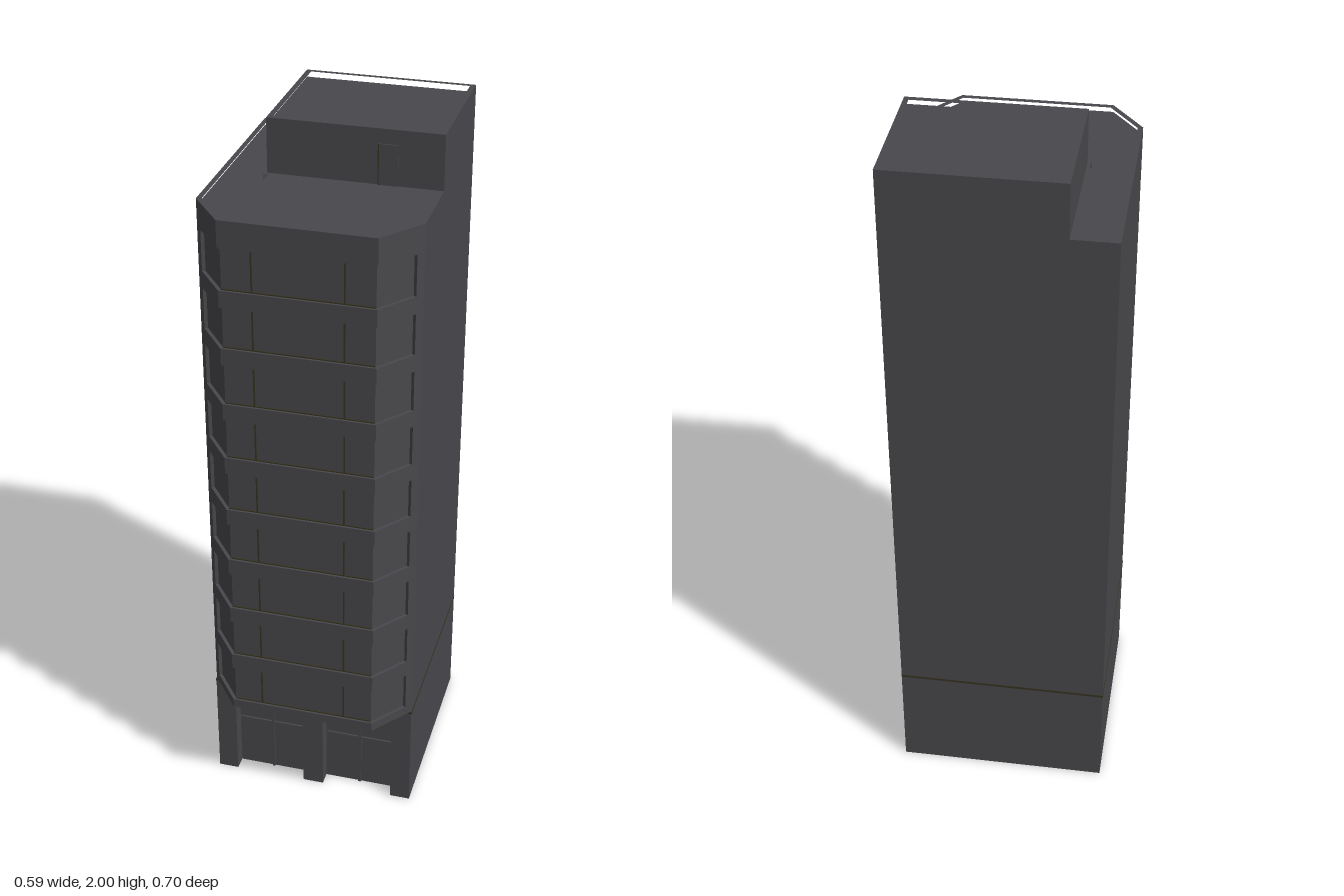
import * as THREE from 'three';

export function createModel() {
  const model = new THREE.Group();
  const mat = (name, color, side = THREE.FrontSide) => {
    const m = new THREE.MeshStandardMaterial({ color, side });
    m.name = name;
    return m;
  };
  const wall = mat('wall grey', 0x48474b);
  const trim = mat('dark olive trim', 0x35321f);

  const add = (name, geo, material = wall, parent = model) => {
    const mesh = new THREE.Mesh(geo, material);
    mesh.name = name;
    parent.add(mesh);
    return mesh;
  };
  // Box given by its minimum and maximum corners
  const box = (name, x0, x1, y0, y1, z0, z1, material, parent) =>
    add(name, new THREE.BoxGeometry(x1 - x0, y1 - y0, z1 - z0)
      .translate((x0 + x1) / 2, (y0 + y1) / 2, (z0 + z1) / 2), material, parent);
  // Vertical prism over a plan of [x, z] points, with an optional hole
  const plan = (pts) => pts.map(([x, z]) => new THREE.Vector2(x, -z));
  const prism = (name, pts, y0, y1, hole, material, parent) => {
    const shape = new THREE.Shape(plan(pts));
    if (hole) shape.holes.push(new THREE.Path(plan(hole)));
    const geo = new THREE.ExtrudeGeometry(shape, { depth: y1 - y0, bevelEnabled: false });
    return add(name, geo.rotateX(-Math.PI / 2).translate(0, y0, 0), material, parent);
  };
  const mirrored = (half) => [...half, ...half.map(([x, z]) => [-x, z]).reverse()];

  const W = 0.295, BACK = -0.35, FRONT = 0.35, BASE_FRONT = 0.24;
  const BASE_TOP = 0.33, ROOF = 1.85, TOP = 2.0, RIM = 0.02;

  // Ground floor: thin walls open underneath, with a recessed shop front
  const base = new THREE.Group();
  base.name = 'groundFloor';
  model.add(base);
  const T = 0.004, GLASS = 0.2;
  box('backWall', -W, W, 0, BASE_TOP, BACK, BACK + T, wall, base);
  for (const s of [-1, 1]) {
    const a = s * W, b = s * (W - T), c = s * 0.237;
    box('sideWall', Math.min(a, b), Math.max(a, b), 0, BASE_TOP, BACK, BASE_FRONT, wall, base);
    box('cornerPillar', Math.min(a, c), Math.max(a, c), 0, BASE_TOP, GLASS, BASE_FRONT, wall, base);
  }
  box('centrePillar', -0.03, 0.03, 0, 0.28, GLASS, BASE_FRONT, wall, base);
  box('lintel', -0.237, 0.237, 0.28, BASE_TOP, GLASS, BASE_FRONT, wall, base);
  box('shopFront', -0.237, 0.237, 0, 0.28, GLASS - T, GLASS, wall, base);
  for (const s of [-1, 1]) {
    const x = s * 0.134;
    box('shopMullion', x - 0.004, x + 0.004, 0, 0.28, GLASS - 0.008, GLASS + 0.005, wall, base);
    box('shopTransom', x - 0.1, x + 0.1, 0.165, 0.173, GLASS - 0.008, GLASS + 0.005, wall, base);
  }
  // Dark line between ground floor and tower
  prism('baseTrim', mirrored([[W + 0.001, BACK - 0.001], [W + 0.001, BASE_FRONT + 0.001]]),
    0.323, 0.33, mirrored([[W - T, BACK + T], [W - T, BASE_FRONT - T]]), trim);

  // Tower: full-width slabs alternating with recessed window storeys
  const outline = mirrored([[W, BACK], [W, 0.235], [0.205, FRONT]]);
  const recessed = mirrored([[W, BACK], [W, 0.235], [0.28, 0.254], [0.272, 0.249], [0.2, 0.341]]);
  const tower = new THREE.Group();
  tower.name = 'tower';
  model.add(tower);
  let y = BASE_TOP;
  for (let i = 0; i < 9; i++) {
    const y0 = 0.357 + i * 0.1628, y1 = y0 + 0.115;
    prism('floorBand', outline, y, y0, null, wall, tower);
    prism('windowStorey', recessed, y0, y1, null, wall, tower);
    for (const x of [-0.12, 0.12])
      box('windowMullion', x - 0.002, x + 0.002, y0, y1, 0.339, 0.344, trim, tower);
    for (const [a, b] of [[y0, y0 + 0.003], [y1 - 0.003, y1]])
      box('windowTrim', -0.2, 0.2, a, b, 0.339, 0.344, trim, tower);
    y = y1;
  }
  prism('topBand', outline, y, ROOF - RIM, null, wall, tower);

  // Parapet, leaving a sunken roof around the penthouse
  const sunken = [[-0.281, -0.337], [-0.181, -0.337], [-0.181, 0.037], [0.281, 0.037],
    [0.281, 0.23], [0.199, 0.335], [-0.199, 0.335], [-0.281, 0.23]];
  prism('parapet', outline, ROOF - RIM, ROOF, sunken);

  // Penthouse with its own rim and a roof door
  const PX = -0.172, PZ = 0.028;
  box('penthouse', PX, W, ROOF, TOP - RIM, BACK, PZ);
  prism('penthouseRim', [[PX, BACK], [W, BACK], [W, PZ], [PX, PZ]], TOP - RIM, TOP,
    [[-0.157, -0.337], [0.281, -0.337], [0.281, 0.012], [-0.157, 0.012]]);
  box('roofDoor', 0.125, 0.175, ROOF, 1.96, PZ, PZ + 0.003);
  box('doorEdge', 0.122, 0.125, ROOF, 1.96, PZ, PZ + 0.004, trim);

  return model;
}
